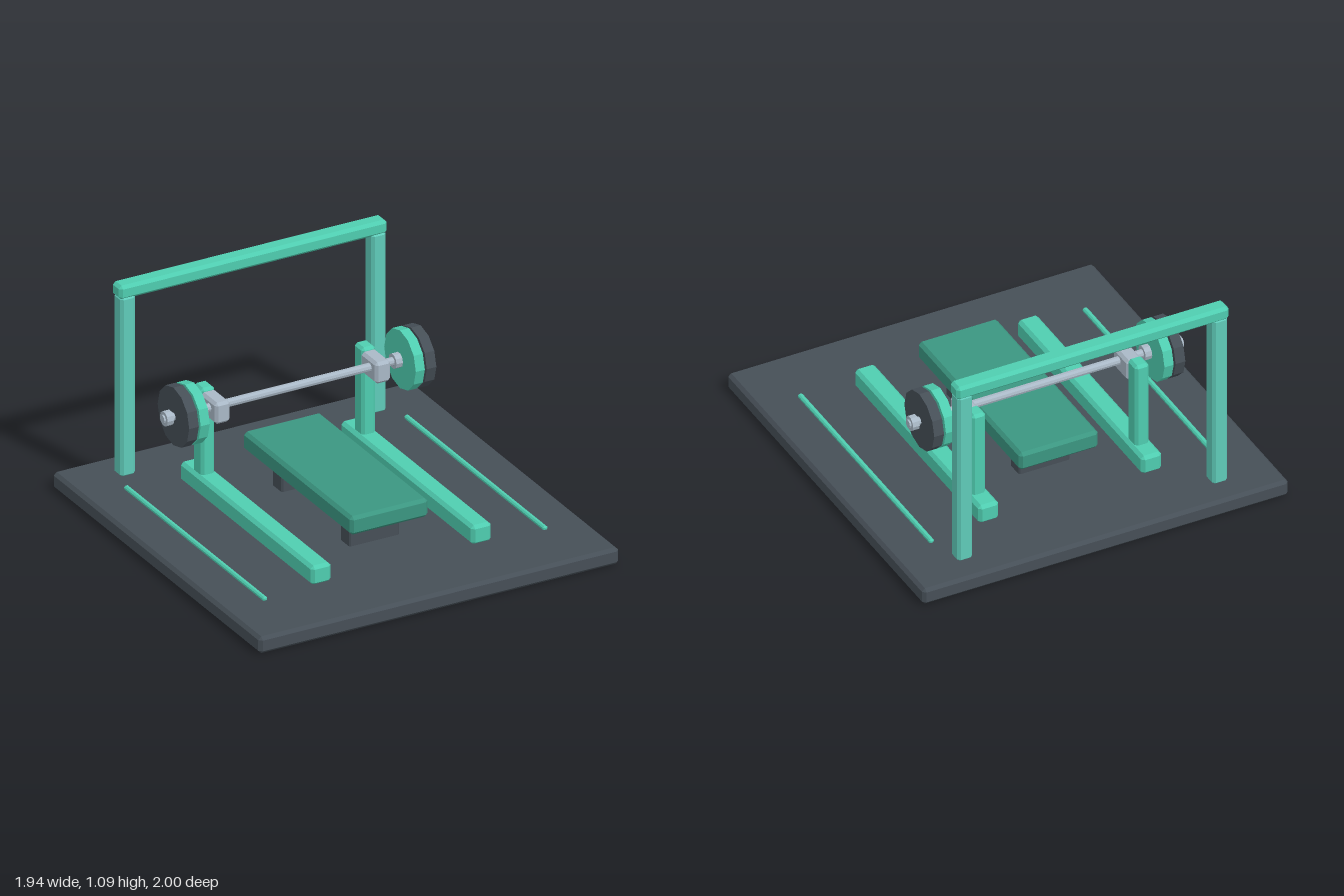
import * as THREE from 'three';
import { ConvexGeometry } from 'three/addons/geometries/ConvexGeometry.js';

const material = (name, color) => {
  const m = new THREE.MeshStandardMaterial({ color });
  m.name = name;
  return m;
};

// Box with every edge cut at 45 degrees, given by its limits on each axis
function chamferBox([x0, x1], [y0, y1], [z0, z1], c) {
  const half = [(x1 - x0) / 2, (y1 - y0) / 2, (z1 - z0) / 2];
  const points = [];
  for (const sx of [-1, 1]) for (const sy of [-1, 1]) for (const sz of [-1, 1]) {
    for (let face = 0; face < 3; face++) {
      const p = [sx, sy, sz].map((s, i) => s * (half[i] - (i === face ? 0 : c)));
      points.push(new THREE.Vector3(...p));
    }
  }
  const g = new ConvexGeometry(points);
  g.translate((x0 + x1) / 2, (y0 + y1) / 2, (z0 + z1) / 2);
  return g;
}

export function createModel() {
  const model = new THREE.Group();
  model.name = 'benchPressStation';

  const charcoal = material('charcoal', 0x464f57);
  const green = material('mint green', 0x4fcdb0);
  const paleGreen = material('pale mint', 0x5fcbb9);
  const padGreen = material('pad green', 0x3b9681);
  const steel = material('steel', 0xa9b8c6);
  for (const m of [charcoal, green, paleGreen, padGreen, steel]) m.flatShading = true;

  const add = (name, geometry, mat) => {
    const mesh = new THREE.Mesh(geometry, mat);
    mesh.name = name;
    model.add(mesh);
    return mesh;
  };
  const box = (name, x, y, z, c, mat) => add(name, chamferBox(x, y, z, c), mat);

  // Barbell pieces all lie along one axis
  const barY = 0.577, barZ = -0.375;
  const disc = (name, x0, x1, r, sides, mat) => {
    const g = new THREE.CylinderGeometry(r, r, x1 - x0, sides);
    g.rotateZ(Math.PI / 2);
    g.translate((x0 + x1) / 2, barY, barZ);
    return add(name, g, mat);
  };

  // Platform and bench
  box('platform', [-0.97, 0.97], [0, 0.088], [-1, 1], 0.016, charcoal);
  box('benchPad', [-0.21, 0.21], [0.225, 0.323], [-0.525, 0.52], 0.016, padGreen);
  box('benchFrontLeg', [-0.135, 0.135], [0.08, 0.235], [0.28, 0.372], 0.008, charcoal);
  box('benchBackLeg', [-0.135, 0.135], [0.08, 0.235], [-0.372, -0.28], 0.008, charcoal);

  // Rear frame crossbar
  box('rearCrossbar', [-0.722, 0.722], [1.015, 1.088], [-0.872, -0.787], 0.015, green);

  // Bar
  disc('bar', -0.727, 0.727, 0.021, 10, steel);

  for (const s of [1, -1]) {
    const side = s > 0 ? 'left' : 'right';
    const span = (a, b) => (s > 0 ? [a, b] : [-b, -a]);

    // Frame, rack and floor strip
    box(side + 'RearPost', span(0.636, 0.716), [0.08, 1.03], [-0.868, -0.787], 0.014, paleGreen);
    box(side + 'FloorRail', span(0.378, 0.486), [0.08, 0.182], [-0.64, 0.637], 0.016, green);
    box(side + 'RackUpright', span(0.396, 0.47), [0.16, 0.636], [-0.54, -0.452], 0.014, green);
    box(side + 'BarCradle', span(0.391, 0.473), [0.508, 0.62], [-0.465, -0.312], 0.014, steel);
    box(side + 'FloorStrip', span(0.742, 0.768), [0.084, 0.107], [-0.675, 0.67], 0.007, green);

    // Weights and collars
    disc(side + 'InnerCollar', ...span(0.515, 0.55), 0.038, 10, steel);
    disc(side + 'InnerPlate', ...span(0.555, 0.604), 0.152, 12, green);
    disc(side + 'OuterPlate', ...span(0.614, 0.666), 0.152, 12, charcoal);
    disc(side + 'OuterCollar', ...span(0.683, 0.718), 0.038, 10, steel);
  }
  return model;
}
